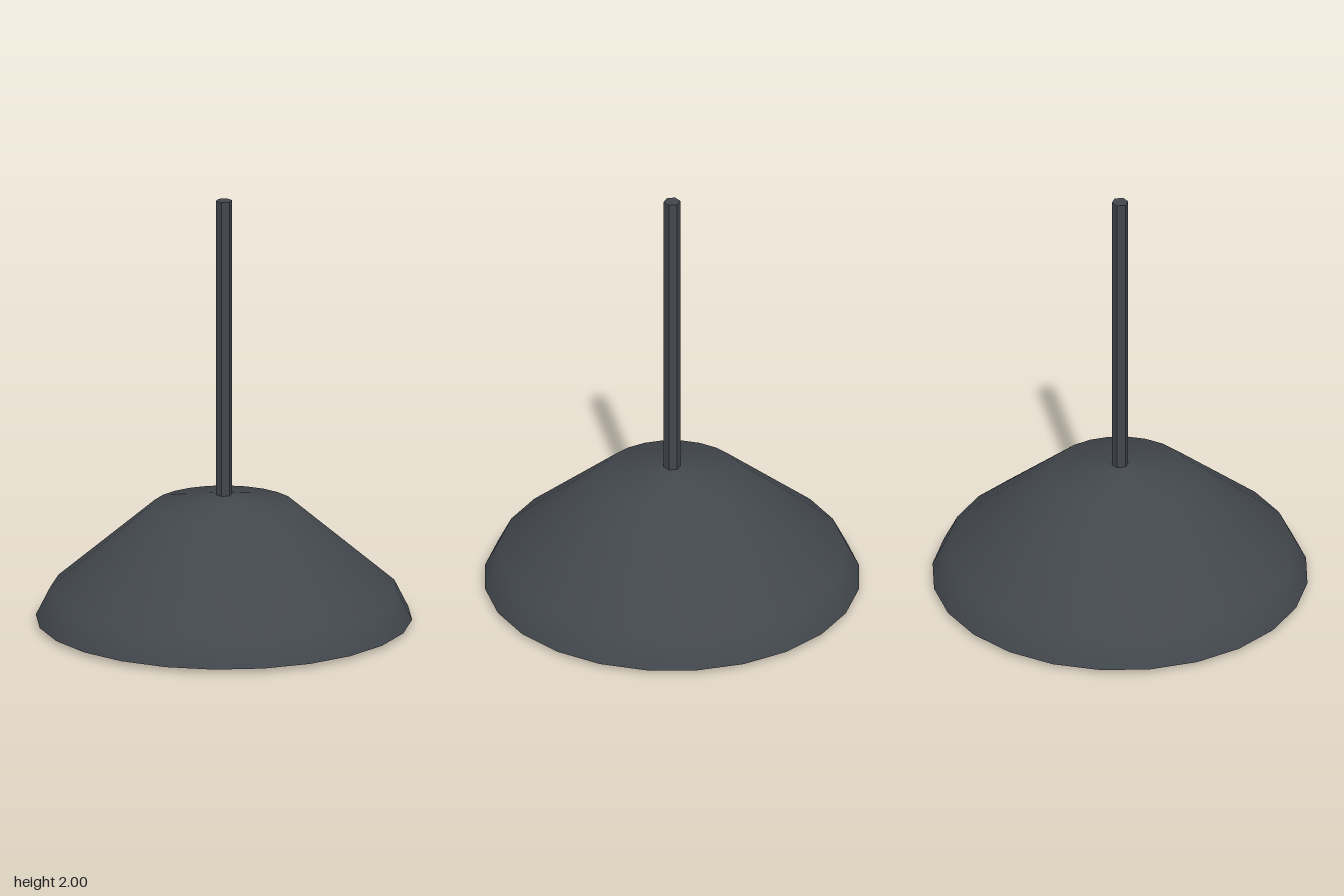
import * as THREE from 'three';

export function createModel() {
  const group = new THREE.Group();
  const darkMetal = new THREE.MeshStandardMaterial({ color: 0x42474d });
  const rodMetal = new THREE.MeshStandardMaterial({ color: 0x42474d, flatShading: true });
  const diffuserGrey = new THREE.MeshStandardMaterial({ color: 0xc4c4c4 });
  darkMetal.name = 'darkMetal';
  rodMetal.name = 'darkMetalFaceted';
  diffuserGrey.name = 'diffuserGrey';

  const add = (name, geometry, material, y) => {
    const mesh = new THREE.Mesh(geometry, material);
    mesh.name = name;
    mesh.position.y = y;
    group.add(mesh);
    return mesh;
  };

  // Smooth shade, profile from rim to crown
  const profile = [[0.86, 0.02], [0.795, 0.15], [0.33, 0.55], [0, 0.61]]
    .map(([r, y]) => new THREE.Vector2(r, y));
  add('shade', new THREE.LatheGeometry(profile, 24), darkMetal, 0);

  // Flat underside closing the shade
  add('shadeUnderside', new THREE.CircleGeometry(0.86, 24).rotateX(Math.PI / 2), darkMetal, 0.02);

  // Thin light diffuser just below the shade
  add('diffuser', new THREE.CylinderGeometry(0.76, 0.76, 0.009, 24), diffuserGrey, 0.0045);

  // Six-sided hanging rod
  add('rod', new THREE.CylinderGeometry(0.038, 0.038, 1.4, 6), rodMetal, 1.3);

  return group;
}
